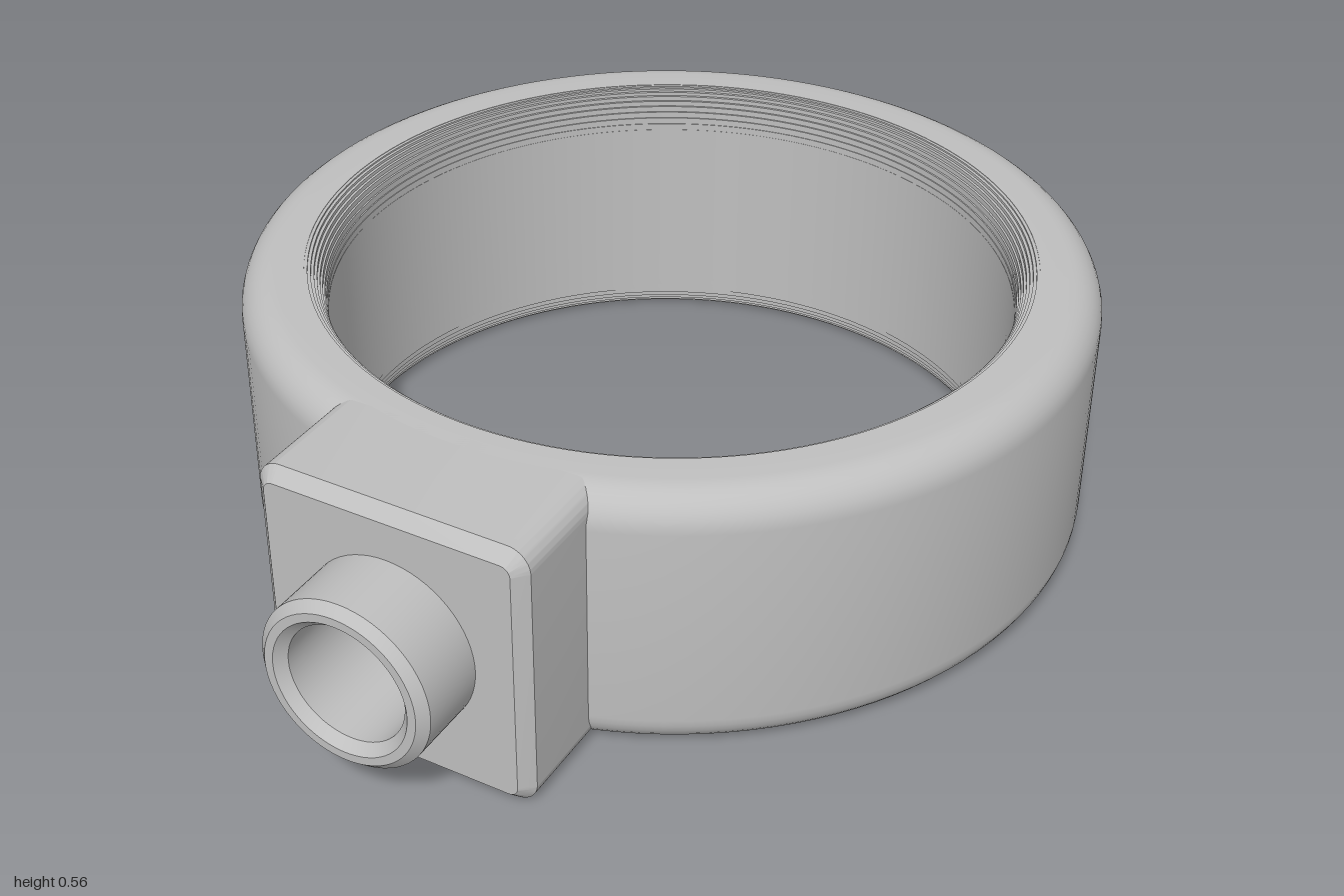
import * as THREE from 'three';
import { toCreasedNormals } from 'three/addons/utils/BufferGeometryUtils.js';

const H = 0.555;          // height of the band
const MID = 0.28;         // height of the spout axis
const RING_Z = -0.155;    // centre of the band

const grey = new THREE.MeshStandardMaterial({ color: 0xbfbfbf });
grey.name = 'plain grey';

function addMesh(group, name, geometry, crease = 0.4) {
  const mesh = new THREE.Mesh(toCreasedNormals(geometry, crease), grey);
  mesh.name = name;
  group.add(mesh);
  return mesh;
}

function lathe(points, segments) {
  return new THREE.LatheGeometry(points.map(([r, y]) => new THREE.Vector2(r, y)), segments);
}

// Band section: rounded outer edges, finely stepped inner edges
function bandProfile() {
  const outerR = 0.845, fillet = 0.07, stepR = 0.72, boreR = 0.678, stepH = 0.09;
  const steps = 10, rounds = 8;
  const outer = [], inner = [];
  for (let i = 0; i <= rounds; i++) {
    const a = (i / rounds) * Math.PI / 2;
    outer.push([outerR - fillet + fillet * Math.cos(a), H - fillet + fillet * Math.sin(a)]);
  }
  const curve = (i) => {
    const a = (i / steps) * Math.PI / 2;
    return [boreR + (stepR - boreR) * (1 - Math.sin(a)), H - stepH * (1 - Math.cos(a))];
  };
  for (let i = 0; i < steps; i++) {
    const [r, y] = curve(i), [nextR, nextY] = curve(i + 1);
    if (i === 0) inner.push([r, y]);
    inner.push([r, nextY], [nextR, nextY]);
  }
  const upper = [...outer, ...inner];
  const lower = upper.map(([r, y]) => [r, H - y]).reverse();
  return [...lower, ...upper, lower[0]];
}

// Rounded rectangle with a round hole
function blockShape(halfW, height, radius, holeR) {
  const s = new THREE.Shape();
  s.moveTo(-halfW + radius, 0);
  s.lineTo(halfW - radius, 0);
  s.absarc(halfW - radius, radius, radius, -Math.PI / 2, 0);
  s.lineTo(halfW, height - radius);
  s.absarc(halfW - radius, height - radius, radius, 0, Math.PI / 2);
  s.lineTo(-halfW + radius, height);
  s.absarc(-halfW + radius, height - radius, radius, Math.PI / 2, Math.PI);
  s.lineTo(-halfW, radius);
  s.absarc(-halfW + radius, radius, radius, Math.PI, Math.PI * 1.5);
  const hole = new THREE.Path();
  hole.absarc(0, MID, holeR, 0, Math.PI * 2, true);
  s.holes.push(hole);
  return s;
}

export function createModel() {
  const model = new THREE.Group();
  model.name = 'ringCollar';

  // Round band
  const band = addMesh(model, 'band', lathe(bandProfile(), 128));
  band.position.z = RING_Z;

  // Mounting block with a chamfered front
  const chamfer = 0.025, back = 0.57, front = 0.845;
  const block = new THREE.ExtrudeGeometry(blockShape(0.275, H, 0.045, 0.14), {
    depth: front - back - 2 * chamfer,
    bevelEnabled: true,
    bevelThickness: chamfer,
    bevelSize: chamfer,
    bevelOffset: -chamfer,
    bevelSegments: 1,
    curveSegments: 12,
  });
  block.translate(0, 0, back + chamfer);
  addMesh(model, 'mountingBlock', block);

  // Spout: chamfered lip and a blind bore
  const spout = lathe([
    [0.173, 0.82], [0.173, 0.982], [0.155, 1], [0.138, 1],
    [0.12, 0.98], [0.12, 0.695], [0, 0.695],
  ], 64);
  spout.rotateX(Math.PI / 2);
  addMesh(model, 'spout', spout).position.y = MID;

  return model;
}
